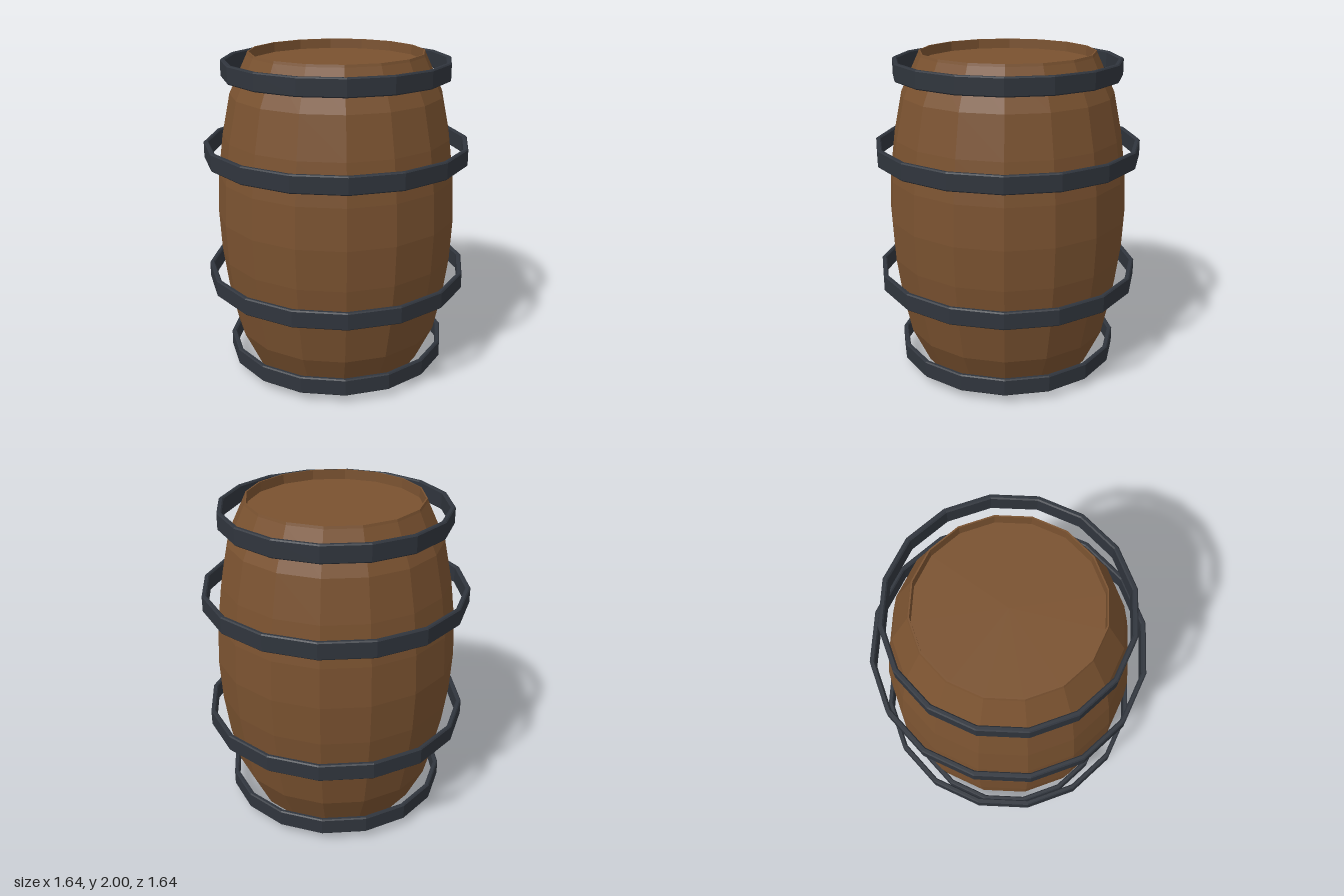
import * as THREE from 'three';

const SIDES = 16;
const wood = new THREE.MeshStandardMaterial({ color: 0x7a5230, flatShading: true });
const iron = new THREE.MeshStandardMaterial({ color: 0x30353d, flatShading: true });

// Faceted solid of revolution from [radius, height] pairs, listed upwards on the outside
function turned(name, profile, material) {
  const points = profile.map(([r, y]) => new THREE.Vector2(r, y));
  const mesh = new THREE.Mesh(new THREE.LatheGeometry(points, SIDES), material);
  mesh.name = name;
  return mesh;
}

// Flat band with slightly bevelled edges
function hoop(name, radius, y) {
  const h = 0.054, t = 0.03, b = 0.007;
  const mesh = turned(name, [
    [radius - t + b, -h], [radius - b, -h], [radius, -h + b], [radius, h - b],
    [radius - b, h], [radius - t + b, h], [radius - t, h - b], [radius - t, -h + b],
    [radius - t + b, -h],
  ], iron);
  mesh.position.y = y;
  return mesh;
}

export function createModel() {
  const barrel = new THREE.Group();
  barrel.name = 'barrel';

  // Bulging staves with a flat base, a thin rim and the wall of the recessed top
  barrel.add(turned('staves', [
    [0, 0], [0.525, 0], [0.54, 0.015], [0.65, 0.25], [0.702, 0.5], [0.735, 0.75], [0.747, 1],
    [0.735, 1.25], [0.702, 1.5], [0.65, 1.75], [0.54, 1.985], [0.535, 2], [0.526, 2], [0.524, 1.94],
  ], wood));

  // Lid set a little below the rim
  barrel.add(turned('lid', [[0.524, 1.94], [0, 1.94]], wood));

  // Two narrow end hoops and two wide middle hoops, mirrored about mid-height
  for (const [end, s] of [['lower', -1], ['upper', 1]]) {
    barrel.add(hoop(`${end}EndHoop`, 0.698, 1 + s * 0.9));
    barrel.add(hoop(`${end}MiddleHoop`, 0.82, 1 + s * 0.4));
  }
  // Bring hoop heights onto their measured centres
  for (const part of barrel.children) if (part.name.endsWith('Hoop')) part.position.y += 0.004;
  return barrel;
}
